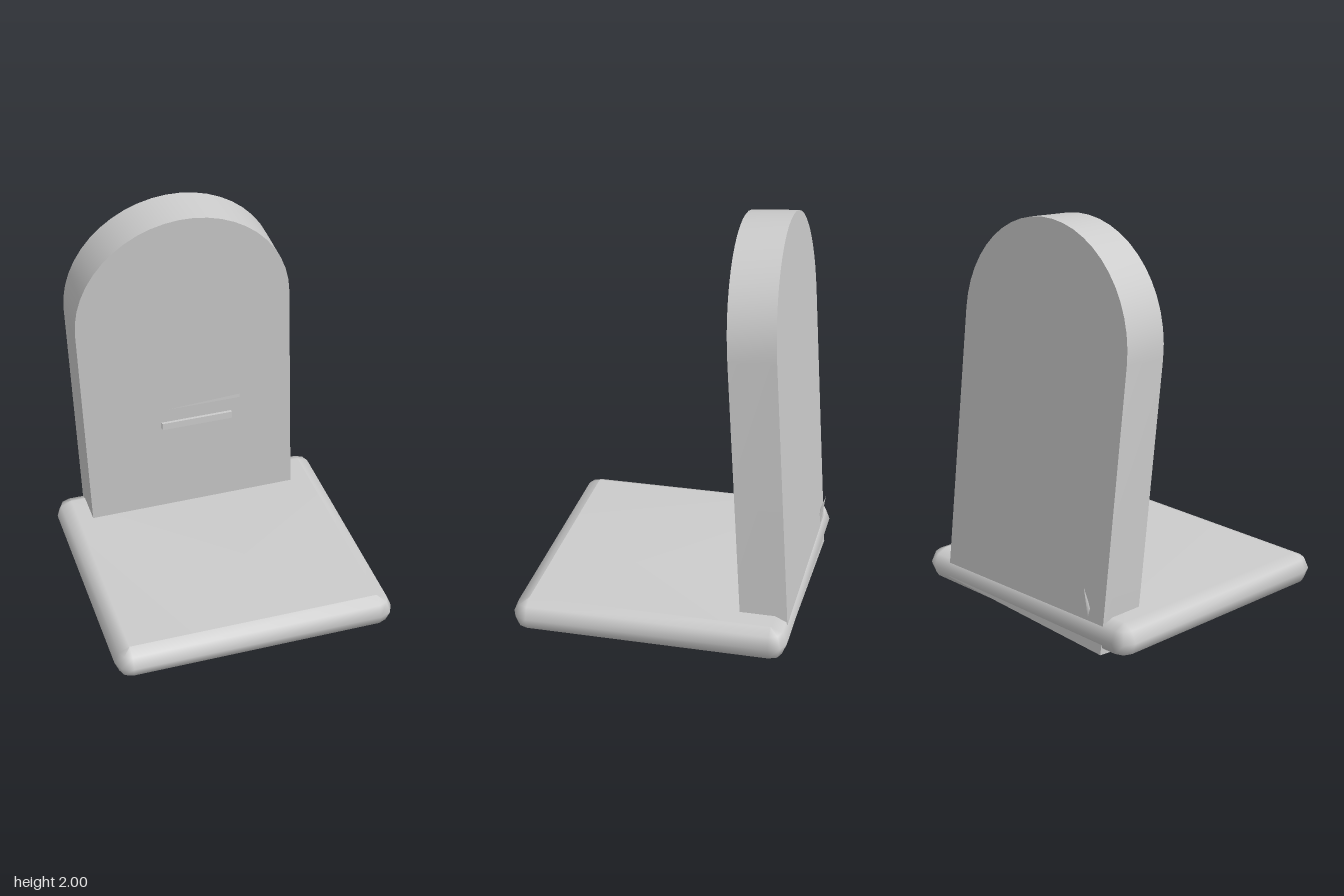
import * as THREE from 'three';
import { toCreasedNormals } from 'three/addons/utils/BufferGeometryUtils.js';

const stone = new THREE.MeshStandardMaterial({ color: 0xcccccc });
stone.name = 'grey stone';

function part(name, geometry, x, y, z) {
  const mesh = new THREE.Mesh(geometry, stone);
  mesh.name = name;
  mesh.position.set(x, y, z);
  return mesh;
}

// Slab with two-step rounded edges: rings of corner points from bottom to top
function roundedSlab(w, h, d, r) {
  const pos = [], index = [], n = 12;
  for (let j = 0; j <= 4; j++) {
    const phi = (j - 2) * Math.PI / 4;
    for (let c = 0; c < 4; c++) {
      const sx = c === 0 || c === 3 ? 1 : -1, sz = c < 2 ? 1 : -1;
      for (let k = 0; k < 3; k++) {
        const a = c * Math.PI / 2 + k * Math.PI / 4;
        pos.push(
          sx * (w / 2 - r) + r * Math.cos(phi) * Math.cos(a),
          Math.sin(phi) * h / 2,
          sz * (d / 2 - r) + r * Math.cos(phi) * Math.sin(a));
      }
    }
  }
  for (let j = 0; j < 4; j++) {
    for (let i = 0; i < n; i++) {
      const a = j * n + i, b = j * n + (i + 1) % n;
      index.push(a, a + n, b, b, a + n, b + n);
    }
  }
  // Flat bottom and top
  for (let i = 1; i < n - 1; i++) {
    index.push(0, i, i + 1);
    index.push(4 * n, 4 * n + i + 1, 4 * n + i);
  }
  const g = new THREE.BufferGeometry();
  g.setAttribute('position', new THREE.Float32BufferAttribute(pos, 3));
  g.setIndex(index);
  g.computeVertexNormals();
  return g;
}

export function createModel() {
  const model = new THREE.Group();
  model.name = 'gravestone';

  // Ground slab
  model.add(part('baseSlab', roundedSlab(1.445, 0.165, 1.36, 0.08), 0, 0.108, 0));

  // Arched headstone, leaning forward and to one side
  const R = 0.553, H = 1.408, T = 0.232;
  const outline = new THREE.Shape();
  outline.moveTo(-R, 0);
  outline.lineTo(R, 0);
  outline.lineTo(R, H);
  outline.absarc(0, H, R, 0, Math.PI, false);
  outline.closePath();
  const slab = new THREE.ExtrudeGeometry(outline, { depth: T, bevelEnabled: false, curveSegments: 12 });
  slab.translate(0, 0, -T);
  const headstone = part('headstone', toCreasedNormals(slab, 0.6), -0.004, 0.03, -0.437);
  headstone.rotation.set(THREE.MathUtils.degToRad(4), 0, THREE.MathUtils.degToRad(3), 'ZYX');
  model.add(headstone);

  // Two raised bars on the face, set upright
  const depth = 0.04;
  model.add(part('upperBar', new THREE.BoxGeometry(0.465, 0.036, depth), -0.002, 0.856, -0.38 - depth / 2));
  model.add(part('lowerBar', new THREE.BoxGeometry(0.375, 0.038, depth), -0.002, 0.74, -0.371 - depth / 2));

  // Small blade of grass poking out behind the stone
  const blade = new THREE.ConeGeometry(0.018, 0.18, 4);
  const grass = part('grassBlade', blade, -0.462, 0.247, -0.66);
  grass.rotation.x = -0.24;
  model.add(grass);

  return model;
}
